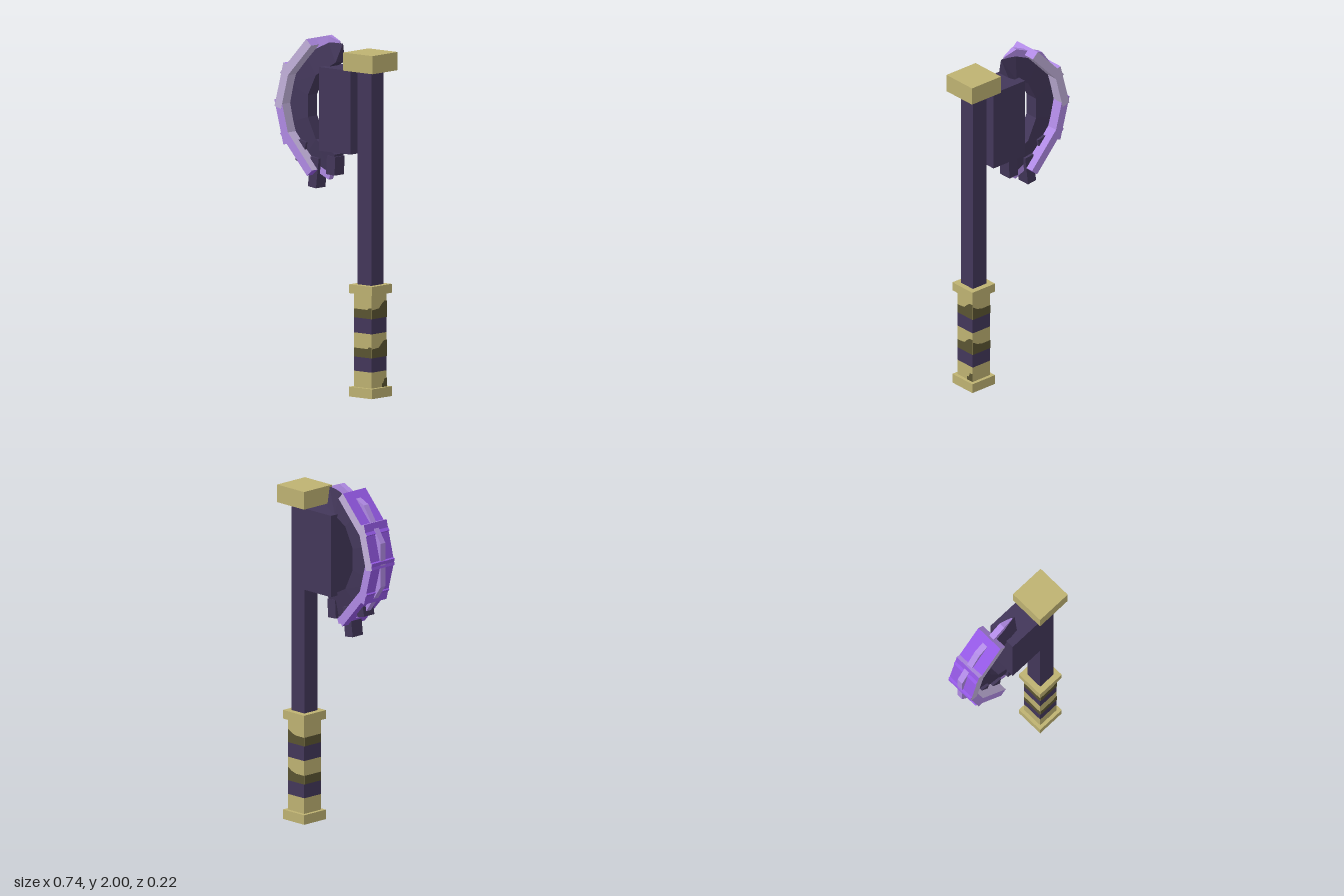
import * as THREE from 'three';

const mat = (name, color, side = THREE.FrontSide) => {
  const m = new THREE.MeshStandardMaterial({ color, side });
  m.name = name;
  return m;
};

// Lofts equal-length rings of [x, y, z]; pick(segment, edge) gives the material index,
// with edge -1 for the caps.
function loft(rings, pick = () => 0) {
  const buckets = [];
  const add = (k, ...pts) => {
    const list = (buckets[k] ??= []);
    for (let i = 1; i < pts.length - 1; i++) list.push(...pts[0], ...pts[i], ...pts[i + 1]);
  };
  const last = rings.length - 1;
  for (let s = 0; s < last; s++) {
    const a = rings[s], b = rings[s + 1];
    a.forEach((p, i) => {
      const j = (i + 1) % a.length;
      add(pick(s, i), p, a[j], b[j], b[i]);
    });
  }
  add(pick(0, -1), ...[...rings[0]].reverse());
  add(pick(last, -1), ...rings[last]);

  const geo = new THREE.BufferGeometry();
  let start = 0;
  buckets.forEach((list, k) => {
    geo.addGroup(start, list.length / 3, k);
    start += list.length / 3;
  });
  geo.setAttribute('position', new THREE.Float32BufferAttribute(buckets.flat(), 3));
  geo.computeVertexNormals();
  return geo;
}

export function createModel() {
  const model = new THREE.Group();
  model.name = 'axe';
  const dark = mat('dark plum', 0x43375a);
  const gold = mat('old gold', 0xbeb272);
  const olive = mat('dark olive', 0x5a5432, THREE.DoubleSide);
  const purple = mat('strong purple', 0x9458e4);
  const violet = mat('violet', 0xb08ae4);
  const pale = mat('pale lilac', 0xc3b2dc);

  const put = (name, geo, material, x = 0, y = 0, z = 0) => {
    const mesh = new THREE.Mesh(geo, material);
    mesh.name = name;
    mesh.position.set(x, y, z);
    model.add(mesh);
    return mesh;
  };
  // Box on the vertical range y0..y1
  const block = (name, material, x, y0, y1, w, d) =>
    put(name, new THREE.BoxGeometry(w, y1 - y0, d), material, x, (y0 + y1) / 2);

  // Handle
  const hx = 0.262;
  block('pommel', gold, hx, 0, 0.055, 0.168, 0.168);
  block('collar', gold, hx, 0.58, 0.63, 0.168, 0.168);
  block('shaft', dark, hx, 0.63, 1.83, 0.102, 0.102);
  block('cap', gold, hx, 1.83, 1.932, 0.215, 0.215);
  const bands = [0.055, 0.145, 0.225, 0.36, 0.445, 0.58];
  for (let i = 0; i < 5; i++) {
    block(i % 2 ? 'gripWrap' : 'gripBand', i % 2 ? dark : gold, hx, bands[i], bands[i + 1], 0.128, 0.128);
  }

  // Olive stripes on the four grip faces, climbing across the +x face
  const w = 0.064;
  const tops = [
    [[w, 0.06], [0.045, 0.06], [0.035, 0.05], [-w, 0.05]],
    [[w, 0.093], [0.04, 0.093], [0.02, 0.078], [-0.005, 0.055], [-w, 0.05]],
    [[w, 0.05], [0, 0.05], [-0.035, 0.06], [-w, 0.078]],
    [[w, 0.05], [-w, 0.05]],
  ];
  const plate = (name, pts, y, turn) => {
    const g = new THREE.ShapeGeometry(new THREE.Shape(pts.map(p => new THREE.Vector2(...p))));
    g.translate(0, 0, w + 0.002).rotateY(turn * Math.PI / 2);
    put(name, g, olive, hx, y);
  };
  for (const y of [0.225, 0.445]) {
    tops.forEach((top, i) => plate('gripStripe', [[-w, 0], [w, 0], ...top], y, i));
  }
  plate('gripNotch', [[0.02, 0], [w, 0], [w, 0.05], [0.04, 0.045], [0.035, 0.025], [0.02, 0.02]], 0.055, 1);

  // Block carrying the blade
  block('bladeMount', dark, 0.0765, 1.36, 1.83, 0.233, 0.176);

  // Crescent stations from upper tip to lower end: inner x, y, outer x, y
  const stations = [
    [0.04, 1.857, 0.06, 1.96], [-0.02, 1.822, -0.037, 2.0],
    [-0.105, 1.772, -0.23, 1.915], [-0.164, 1.655, -0.365, 1.72],
    [-0.164, 1.533, -0.365, 1.47], [-0.105, 1.412, -0.23, 1.28],
    [0.035, 1.34, -0.03, 1.19],
  ];
  const ring = ([ix, iy, ox, oy], t0, t1, h0, h1) => {
    const at = (t, z) => [ix + (ox - ix) * t, iy + (oy - iy) * t, z];
    return [at(t0, h0), at(t1, h1), at(t1, -h1), at(t0, -h0)];
  };
  put('crescentBlade', loft(stations.map((s, i) =>
    i ? ring(s, 0, 0.8, 0.04, 0.017) : ring(s, 0, 1, 0.04, 0.001))), dark);
  put('bladeRidge', loft(stations.map((s, i) =>
    i ? ring(s, 0.76, 1, 0.018, 0.018) : ring([0.035, 1.95, 0.04, 1.972], 0, 1, 0.004, 0.004))), violet);

  // Four straight plates crossing at their ends: outer edge from x, y to x, y
  const thick = 0.05;
  [
    [-0.135, 1.978, -0.328, 1.772], [-0.303, 1.83, -0.368, 1.58],
    [-0.37, 1.618, -0.303, 1.37], [-0.328, 1.43, -0.13, 1.21],
  ].forEach(([x0, y0, x1, y1], n) => {
    const upper = n < 2;
    const d = upper ? 0.0878 : 0.087;
    const len = Math.hypot(x1 - x0, y1 - y0);
    const nx = (y0 - y1) / len * thick, ny = (x1 - x0) / len * thick;
    const section = (x, y) => [
      [x + nx, y + ny, d], [x, y, d], [x, y, -d], [x + nx, y + ny, -d], [x + nx, y + ny, 0],
    ];
    const colour = (seg, edge) => {
      if (edge === -1) return upper && seg === 0 ? 1 : 0; // end caps
      if (edge === 1) return 0;                           // outer face
      if (edge === 4) return 2;                           // inner face, front half
      return upper ? 2 : 1;                               // sides, inner face back half
    };
    put('bladePlate', loft([section(x0, y0), section(x1, y1)], colour), [purple, violet, pale]);
  });

  // Stubby teeth along the lower end: x, y, width, length, tilt
  for (const [x, y, tw, len, tilt] of [
    [-0.217, 1.335, 0.055, 0.12, -0.2],
    [-0.124, 1.225, 0.06, 0.17, -0.12],
    [0.004, 1.275, 0.062, 0.105, -0.06],
  ]) {
    put('tooth', new THREE.BoxGeometry(tw, len, 0.08), dark, x, y).rotation.z = tilt;
  }
  return model;
}
